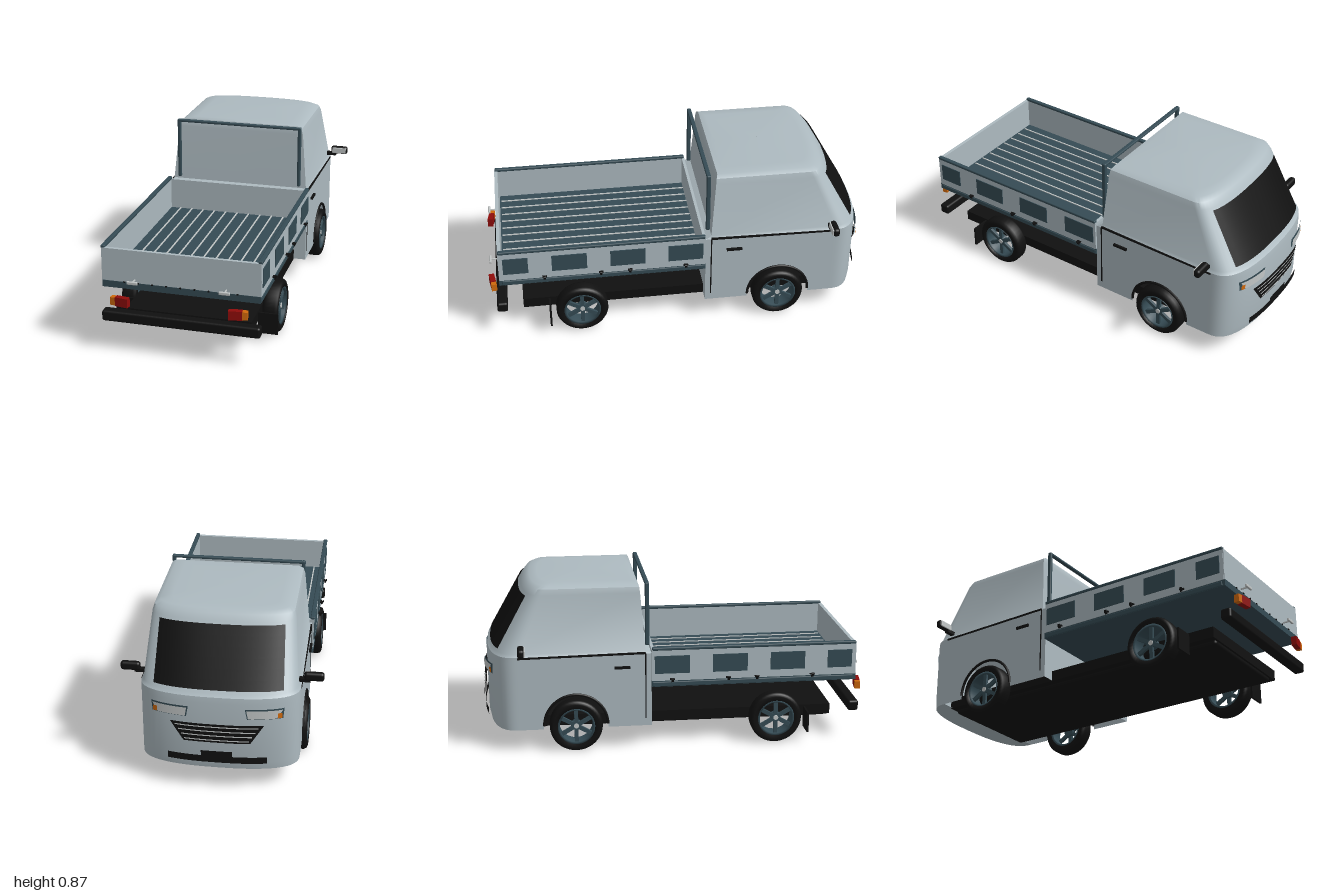
import * as THREE from 'three';
import { toCreasedNormals } from 'three/addons/utils/BufferGeometryUtils.js';
import { RoundedBoxGeometry } from 'three/addons/geometries/RoundedBoxGeometry.js';

const mat = (name, color, side = THREE.FrontSide) => {
  const m = new THREE.MeshStandardMaterial({ color, side });
  m.name = name;
  return m;
};
const paint = mat('body grey', 0xadbac0, THREE.DoubleSide);
const slate = mat('slate trim', 0x354b54, THREE.DoubleSide);
const black = mat('black', 0x101010, THREE.DoubleSide);
const silver = mat('silver', 0xc2c6c6);
const red = mat('lamp red', 0x8f0c0a);
const orange = mat('lamp orange', 0xd0690c);

// Plan curve across the nose: shallow bow, then tight corners
const bow = t => 1 - Math.pow(Math.max(0, 1 - Math.pow(Math.min(1, t), 2.5)), 0.36);
const frontZ = (x, w, zs, zf) => zf + (zs - zf) * bow(Math.abs(x) / w);
const lerp = THREE.MathUtils.lerp;

// Front curve points from right side to left side at one height
function frontPoints([y, w, zs, zf], n = 14) {
  const pts = [];
  for (let i = -n; i <= n; i++) {
    const t = Math.sign(i) * (1 - Math.pow(1 - Math.abs(i) / n, 3));
    pts.push([w * t, y, frontZ(w * t, w, zs, zf)]);
  }
  return pts;
}

// Skin over rows of points, each row the same length
function loft(rows) {
  const n = rows[0].length, index = [];
  for (let r = 0; r < rows.length - 1; r++)
    for (let i = 0; i < n - 1; i++) {
      const a = r * n + i, b = a + n;
      index.push(a, b, a + 1, a + 1, b, b + 1);
    }
  const g = new THREE.BufferGeometry();
  g.setAttribute('position', new THREE.Float32BufferAttribute(rows.flat(2), 3));
  g.setIndex(index);
  return toCreasedNormals(g, 0.6);
}

export function createModel() {
  const root = new THREE.Group();
  root.name = 'pickupTruck';
  const add = (name, geo, m, x = 0, y = 0, z = 0, parent = root) => {
    const mesh = new THREE.Mesh(geo, m);
    mesh.name = name;
    mesh.position.set(x, y, z);
    parent.add(mesh);
    return mesh;
  };
  const box = (name, m, w, h, d, x, y, z, parent) =>
    add(name, new THREE.BoxGeometry(w, h, d), m, x, y, z, parent);
  const round = (name, m, w, h, d, x, y, z, r, parent) =>
    add(name, new RoundedBoxGeometry(w, h, d, 3, r), m, x, y, z, parent);

  // Upper cab: [y, half width, side end z, front z, back z]
  const upper = [
    [0.51, 0.385, -0.8, -0.96, -0.125], [0.525, 0.374, -0.8, -0.945, -0.155],
    [0.82, 0.347, -0.67, -0.775, -0.178], [0.848, 0.338, -0.655, -0.752, -0.181],
    [0.862, 0.315, -0.63, -0.73, -0.188], [0.867, 0.26, -0.6, -0.69, -0.22],
    [0.869, 0.001, -0.449, -0.45, -0.448]
  ];
  add('upperCab', loft(upper.map(r => {
    const [y, w, , , zb] = r;
    return [[0, y, zb], [-w, y, zb], ...frontPoints(r), [w, y, zb], [0, y, zb]];
  })), paint);

  // Lower cab: curved nose, flat sides with wheel arches, rear wall
  const nose = [[0.12, 0.385, -0.8, -0.955], [0.16, 0.385, -0.8, -0.963],
    [0.48, 0.385, -0.8, -0.965], [0.51, 0.385, -0.8, -0.96]];
  add('nose', loft(nose.map(r => frontPoints(r))), paint);
  const under = frontPoints(nose[0]);
  add('noseUnderside', loft([under.map(p => [p[0], p[1], -0.8]), under]), paint);
  const sideShape = new THREE.Shape();
  sideShape.moveTo(-0.125, 0.12);
  sideShape.lineTo(-0.125, 0.51);
  sideShape.lineTo(-0.8, 0.51);
  sideShape.lineTo(-0.8, 0.12);
  sideShape.lineTo(-0.68, 0.12);
  sideShape.lineTo(-0.68, 0.14);
  sideShape.absarc(-0.515, 0.14, 0.165, Math.PI, 0, true);
  sideShape.lineTo(-0.35, 0.12);
  const sideGeo = new THREE.ShapeGeometry(sideShape, 32).rotateY(-Math.PI / 2);
  const archGeo = new THREE.TorusGeometry(0.163, 0.007, 8, 32, Math.PI).rotateY(Math.PI / 2);
  add('cabRearWall', new THREE.PlaneGeometry(0.77, 0.39), paint, 0, 0.315, -0.125);

  // Thin plate that follows a curved front surface
  const plate = (name, m, xa, xb, ya, yb, surface, off, ta = xa, tb = xb) => {
    const g = new THREE.PlaneGeometry(1, 1, 20, 6), p = g.attributes.position;
    for (let i = 0; i < p.count; i++) {
      const u = 0.5 - p.getX(i), v = p.getY(i) + 0.5;
      const x = lerp(lerp(xa, xb, u), lerp(ta, tb, u), v), y = lerp(ya, yb, v);
      p.setXYZ(i, x, y, surface(x, y) - off);
    }
    g.computeVertexNormals();
    return add(name, g, m);
  };
  const onNose = x => frontZ(x, 0.385, -0.8, -0.965);
  const onGlass = (x, y) => {
    const k = (y - 0.525) / 0.295;
    return frontZ(x, lerp(0.374, 0.347, k), lerp(-0.8, -0.67, k), lerp(-0.945, -0.775, k));
  };
  plate('windshield', black, -0.31, 0.31, 0.54, 0.81, onGlass, 0.008, -0.3, 0.3);
  plate('grille', black, -0.16, 0.16, 0.275, 0.375, onNose, 0.014, -0.225, 0.225);
  for (let i = 0; i < 4; i++) {
    const y = 0.288 + i * 0.024, w = 0.155 + i * 0.015;
    plate('grilleSlat', silver, -w, w, y, y + 0.006, onNose, 0.02);
  }
  plate('frontBumper', black, -0.24, 0.24, 0.165, 0.2, onNose, 0.016);
  plate('frontPlate', black, -0.075, 0.075, 0.195, 0.232, onNose, 0.022);
  for (const s of [-1, 1]) {
    const a = (n, m, x0, x1, y0, y1, off, t0 = x0, t1 = x1) => s > 0
      ? plate(n, m, x0, x1, y0, y1, onNose, off, t0, t1)
      : plate(n, m, -x1, -x0, y0, y1, onNose, off, -t1, -t0);
    a('headlightFrame', slate, 0.145, 0.312, 0.408, 0.462, 0.012, 0.135, 0.318);
    a('headlight', silver, 0.15, 0.285, 0.413, 0.457, 0.018, 0.142, 0.312);
    a('frontIndicator', orange, 0.288, 0.308, 0.413, 0.44, 0.018);
  }

  // Details mirrored on both sides of the cab
  for (const s of [-1, 1]) {
    add('cabSide', sideGeo, paint, s * 0.385);
    add('wheelArchLip', archGeo, black, s * 0.387, 0.14, -0.515);
    box('beltLine', black, 0.008, 0.01, 0.65, s * 0.384, 0.508, -0.48).rotation.x = -0.012;
    box('doorSeam', black, 0.006, 0.35, 0.006, s * 0.384, 0.335, -0.155);
    box('doorHandle', black, 0.014, 0.012, 0.08, s * 0.39, 0.44, -0.275);
    box('mirrorArm', black, 0.06, 0.018, 0.025, s * 0.395, 0.537, -0.78);
    round('mirrorHousing', black, 0.096, 0.044, 0.034, s * 0.444, 0.559, -0.785, 0.014);
    round('mirrorGlass', silver, 0.08, 0.032, 0.008, s * 0.444, 0.559, -0.768, 0.003);
    // Headboard post
    round('headboardPost', slate, 0.018, 0.33, 0.022, s * 0.336, 0.705, -0.142, 0.006);
  }
  round('headboardRail', slate, 0.68, 0.014, 0.022, 0, 0.862, -0.142, 0.005);

  // Cargo bed
  const bed = new THREE.Group();
  bed.name = 'cargoBed';
  root.add(bed);
  box('bedFloor', slate, 0.785, 0.032, 1.055, 0, 0.346, 0.403, bed);
  for (let i = -5; i <= 5; i++)
    box('floorStrip', silver, 0.007, 0.006, 1.03, i * 0.065, 0.363, 0.4, bed);
  box('bedFrontWall', paint, 0.785, 0.165, 0.015, 0, 0.445, -0.117, bed);
  box('tailgate', paint, 0.785, 0.168, 0.018, 0, 0.446, 0.932, bed);
  box('tailgateSill', slate, 0.785, 0.034, 0.014, 0, 0.347, 0.936, bed);
  for (let i = -4; i <= 4; i++)
    box('tailgateHinge', black, 0.008, 0.006, 0.008, i * 0.07, 0.364, 0.943, bed);
  const panels = [[0.918, 0.79], [0.67, 0.49], [0.37, 0.19], [0.07, -0.11]];
  for (const s of [-1, 1]) {
    box('bedSide', paint, 0.016, 0.165, 1.06, s * 0.387, 0.445, 0.408, bed);
    round('bedTopRail', slate, 0.022, 0.016, 1.06, s * 0.388, 0.533, 0.408, 0.005, bed);
    round('bedBottomRail', slate, 0.02, 0.026, 1.05, s * 0.386, 0.344, 0.403, 0.005, bed);
    for (const [a, b] of panels)
      box('sidePanel', slate, 0.006, 0.094, a - b, s * 0.396, 0.449, (a + b) / 2, bed);
    for (const z of [0.71, 0.42, 0.27, -0.02]) {
      box('ropeHook', black, 0.006, 0.022, 0.012, s * 0.409, 0.368, z, bed).rotation.z = -s * 0.5;
      box('hookBase', black, 0.014, 0.006, 0.024, s * 0.4, 0.372, z, bed);
    }
    round('tailgateHandle', silver, 0.055, 0.016, 0.012, s * 0.227, 0.38, 0.982, 0.004, bed);
    box('handleStem', silver, 0.006, 0.006, 0.042, s * 0.227, 0.38, 0.957, bed);

    // Rear lamp, angled toward the outside
    const lamp = new THREE.Group();
    lamp.name = 'rearLamp';
    lamp.position.set(s * 0.293, 0.277, 0.978);
    lamp.rotation.y = s * 0.15;
    root.add(lamp);
    box('redLens', red, 0.067, 0.046, 0.028, -s * 0.013, 0, 0, lamp);
    box('orangeLens', orange, 0.026, 0.04, 0.028, s * 0.033, 0, 0, lamp);
    box('mudFlap', black, 0.1, 0.11, 0.01, s * 0.37, 0.11, 0.692);
  }

  // Chassis and rear bumper
  box('chassis', black, 0.64, 0.055, 1.64, 0, 0.145, 0.01);
  round('chassisBelly', black, 0.565, 0.05, 1.62, 0, 0.12, 0.01, 0.015);
  round('rearBumper', black, 0.79, 0.055, 0.055, 0, 0.183, 0.938, 0.012);

  // Wheels, axis along x, outer face toward +x before mirroring
  const tyreGeo = new THREE.LatheGeometry([[0.094, -0.036], [0.118, -0.04], [0.13, -0.034],
    [0.136, -0.022], [0.136, 0.022], [0.13, 0.034], [0.118, 0.04], [0.094, 0.036], [0.094, -0.036]]
    .map(p => new THREE.Vector2(...p)), 40).rotateZ(-Math.PI / 2);
  const rimGeo = new THREE.LatheGeometry([[0.086, -0.036], [0.096, -0.038], [0.096, 0.038],
    [0.086, 0.034], [0.086, -0.036]].map(p => new THREE.Vector2(...p)), 40).rotateZ(-Math.PI / 2);
  const hubGeo = new THREE.CylinderGeometry(0.024, 0.028, 0.03, 20).rotateZ(-Math.PI / 2);
  const capGeo = new THREE.CylinderGeometry(0.013, 0.013, 0.006, 16).rotateZ(-Math.PI / 2);
  for (const s of [-1, 1])
    for (const z of [0.525, -0.515]) {
      const wheel = new THREE.Group();
      wheel.name = z > 0 ? 'rearWheel' : 'frontWheel';
      wheel.position.set(s * 0.368, 0.136, z);
      wheel.rotation.y = s > 0 ? 0 : Math.PI;
      root.add(wheel);
      add('tyre', tyreGeo, black, 0, 0, 0, wheel);
      add('rim', rimGeo, slate, 0, 0, 0, wheel);
      add('hub', hubGeo, slate, 0.012, 0, 0, wheel);
      add('hubCap', capGeo, silver, 0.028, 0, 0, wheel);
      for (let i = 0; i < 6; i++) {
        const a = i * Math.PI / 3;
        box('spoke', slate, 0.014, 0.07, 0.02, 0.02, Math.cos(a) * 0.055, Math.sin(a) * 0.055, wheel).rotation.x = a;
      }
    }
  return root;
}
